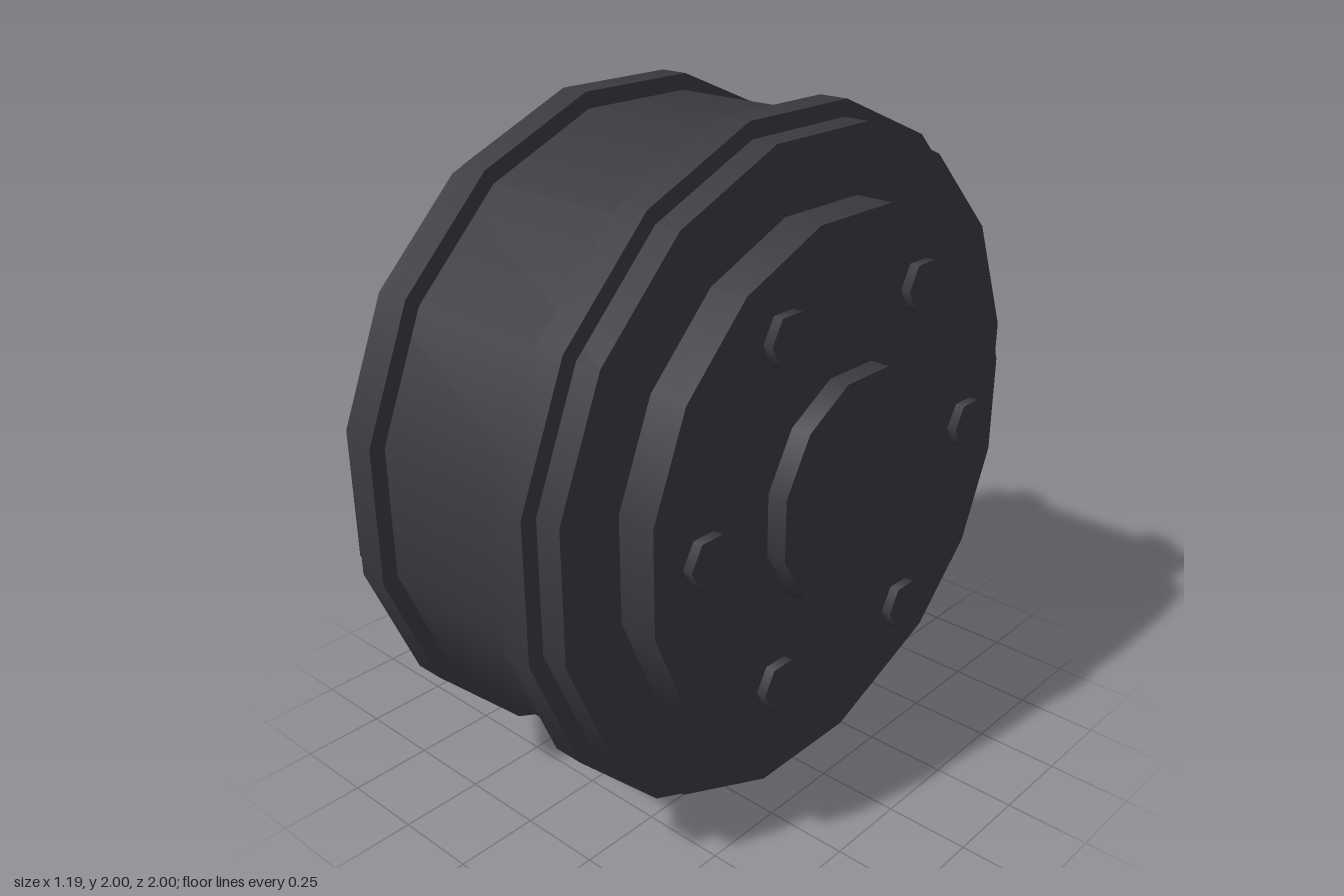
import * as THREE from 'three';

// Faceted disc along the x axis between x0 and x1; "apothem" is the centre-to-flat distance.
function disc(name, material, sides, apothem, x0, x1, flatTop = true) {
  const radius = apothem / Math.cos(Math.PI / sides);
  const start = flatTop ? Math.PI / sides : 0;
  const geometry = new THREE.CylinderGeometry(radius, radius, Math.abs(x1 - x0), sides, 1, false, start);
  geometry.rotateZ(Math.PI / 2);
  const mesh = new THREE.Mesh(geometry, material);
  mesh.name = name;
  mesh.position.x = (x0 + x1) / 2;
  return mesh;
}

export function createModel() {
  const rubber = new THREE.MeshStandardMaterial({ color: 0x3a3940 });
  rubber.name = 'dark grey';

  const wheel = new THREE.Group();
  wheel.name = 'wheel';
  wheel.position.y = 1;

  // Main drum across the full width
  wheel.add(disc('drum', rubber, 16, 0.953, -0.418, 0.418));

  for (const side of [1, -1]) {
    const label = side > 0 ? 'left' : 'right';
    const face = new THREE.Group();
    face.name = label + 'Face';

    // Raised rim, stepped side plate and hub cap
    face.add(disc('rimRidge', rubber, 16, 1, side * 0.248, side * 0.338));
    face.add(disc('sidePlate', rubber, 16, 0.762, side * 0.4, side * 0.533));
    face.add(disc('hubCap', rubber, 12, 0.336, side * 0.5, side * 0.593));

    // Six hex bolts around the hub
    for (let i = 0; i < 6; i++) {
      const a = (i * Math.PI) / 3;
      const bolt = disc('bolt', rubber, 6, 0.066, side * 0.51, side * 0.562, false);
      bolt.position.y = Math.sin(a) * 0.584;
      bolt.position.z = Math.cos(a) * 0.584;
      face.add(bolt);
    }
    wheel.add(face);
  }

  const model = new THREE.Group();
  model.name = 'wheelModel';
  model.add(wheel);
  return model;
}
